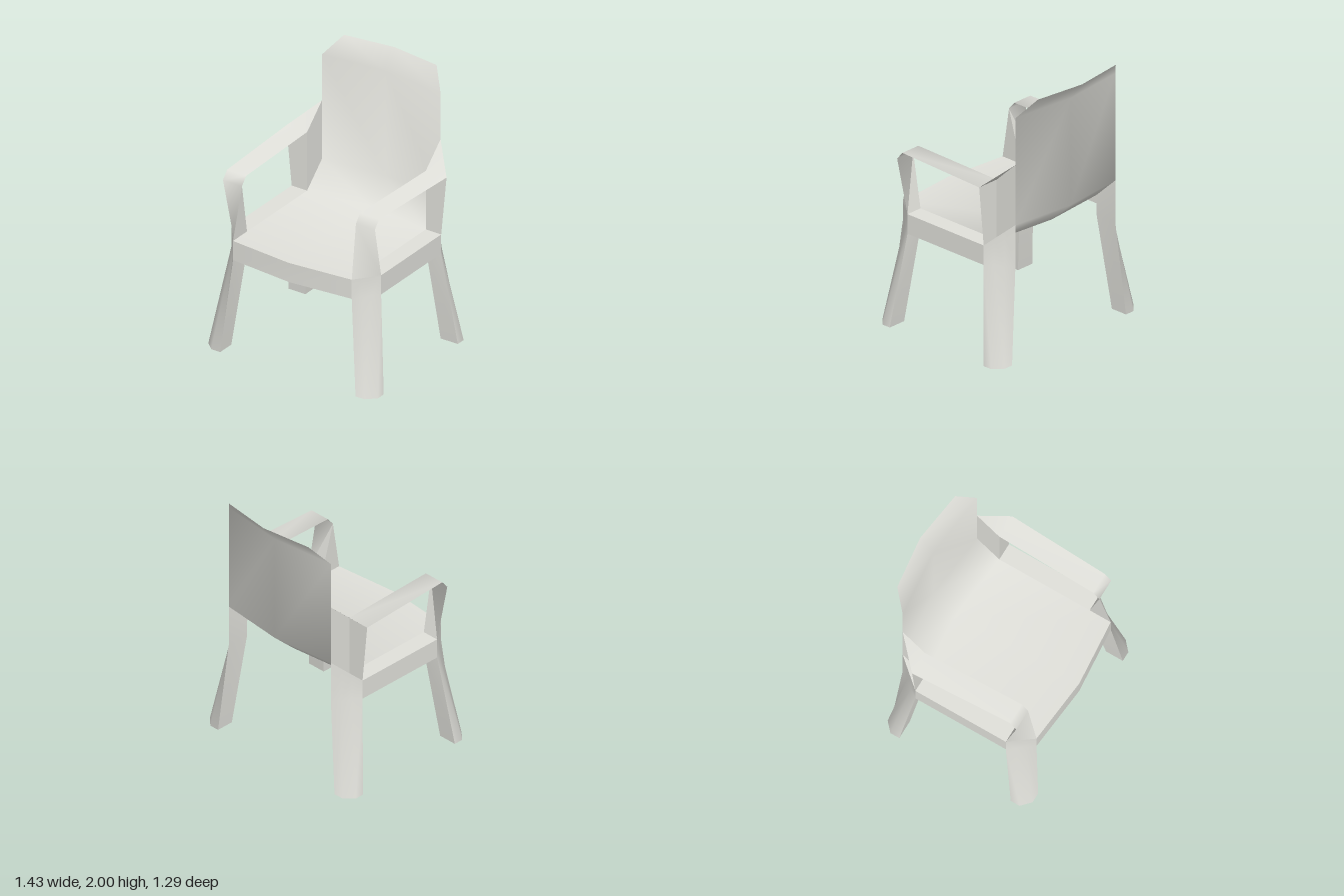
import * as THREE from 'three';
import { toCreasedNormals } from 'three/addons/utils/BufferGeometryUtils.js';

const plastic = new THREE.MeshStandardMaterial({ color: 0xe0e0da, side: THREE.DoubleSide });
plastic.name = 'off white plastic';

// Thin moulded sheet through rows of [x, y, z] points (equal row lengths)
function sheet(name, rows) {
  const n = rows[0].length;
  const index = [];
  for (let r = 0; r < rows.length - 1; r++) {
    for (let c = 0; c < n - 1; c++) {
      const a = r * n + c, b = a + 1, d = a + n, e = d + 1;
      index.push(a, d, b, b, d, e);
    }
  }
  const geo = new THREE.BufferGeometry();
  geo.setAttribute('position', new THREE.Float32BufferAttribute(rows.flat(2), 3));
  geo.setIndex(index);
  const mesh = new THREE.Mesh(toCreasedNormals(geo, 1.1), plastic);
  mesh.name = name;
  return mesh;
}

// Row across the width: bowed at the middle by dz
const bowed = (w, y, z, dz) => [[-w, y, z], [0, y, z + dz], [w, y, z]];
// Closed plan outline [x, z] lifted to a height given by a rule of z
const ring = (plan, y) => [...plan, plan[0]].map(([x, z]) => [x, y(z), z]);
const level = (h) => () => h;

// Triangular leg head: a straight outer chamfer in three steps plus the inner corner
function legPlan(zOuter, zInner) {
  const plan = [0, 1, 2, 3].map((i) => [0.5 + 0.13 * i / 3, zOuter + (zInner - zOuter) * i / 3]);
  return [...plan, [0.5, zInner]];
}
// Squarish foot with its outer corner cut off
const footPlan = (zOuter, zInner) => {
  const cut = zOuter + (zInner - zOuter) * 0.47;
  return [[0.57, zOuter], [0.645, zOuter], [0.714, cut], [0.714, zInner], [0.57, zInner]];
};

// Solid leg from its head down to a closed, splayed foot
function leg(name, plan, foot, topRule) {
  const top = ring(plan, topRule);
  const corner = top[4];
  const sole = ring(foot, level(0));
  return sheet(name, [
    top.map(() => corner), top,
    ring(plan, level(0.72)),
    sole, sole.map(() => sole[4]),
  ]);
}

function createSide() {
  const side = new THREE.Group();

  // Legs; the back one is cut off along the slope of the seat
  side.add(leg('frontLeg', legPlan(0.59, 0.42), footPlan(0.645, 0.51), level(0.87)));
  const slope = (z) => 0.87 + (-0.31 - z) * 0.945;
  side.add(leg('backLeg', legPlan(-0.49, -0.31), footPlan(-0.525, -0.39), slope));

  // Side rim and the seat margin beside it
  side.add(sheet('sideRim', [
    [[0.63, 0.87, 0.42], [0.63, 0.87, -0.31]],
    [[0.63, 0.72, 0.42], [0.63, 0.72, -0.31]],
  ]));
  side.add(sheet('seatMargin', [
    [[0.5, 0.87, 0.42], [0.5, 0.87, -0.31]],
    [[0.63, 0.87, 0.42], [0.63, 0.87, -0.31]],
  ]));

  // Armrest strip: up the front of the post, over the bend, back to the backrest
  side.add(sheet('armrest', [
    [[0.5, 0.87, 0.59], [0.63, 0.87, 0.42]],
    [[0.48, 1.27, 0.51], [0.64, 1.27, 0.51]],
    [[0.48, 1.33, 0.46], [0.64, 1.33, 0.46]],
    [[0.5, 1.33, -0.31], [0.675, 1.33, -0.31]],
    [[0.5, 1.5, -0.49], [0.5, 1.5, -0.49]],
  ]));

  // Inner faces closing the tapered arm post
  side.add(sheet('armPost', [
    [[0.64, 1.27, 0.51], [0.48, 1.27, 0.51], [0.48, 1.27, 0.51]],
    [[0.63, 0.87, 0.42], [0.5, 0.87, 0.42], [0.5, 0.87, 0.59]],
  ]));

  // Folded wing holding the rear of the armrest
  side.add(sheet('backWing', [
    [[0.675, 1.33, -0.31], [0.5, 1.33, -0.31], [0.5, 1.5, -0.49]],
    [[0.63, 0.87, -0.31], [0.5, 0.87, -0.31], [0.5, 1.04, -0.49]],
  ]));
  return side;
}

export function createModel() {
  const chair = new THREE.Group();
  chair.name = 'armchair';

  // Seat and backrest as one continuous sheet
  chair.add(sheet('seatAndBackrest', [
    bowed(0.5, 0.87, 0.59, 0.045),
    bowed(0.5, 0.87, -0.31, -0.05),
    bowed(0.5, 1.04, -0.49, -0.052),
    bowed(0.5, 1.86, -0.49, -0.052),
    bowed(0.39, 2, -0.6, -0.05),
  ]));

  // Front rim under the seat edge
  chair.add(sheet('frontRim', [
    bowed(0.5, 0.87, 0.59, 0.045),
    bowed(0.5, 0.72, 0.59, 0.045),
  ]));

  // Mirrored sides
  for (const s of [1, -1]) {
    const side = createSide();
    side.name = s > 0 ? 'leftSide' : 'rightSide';
    side.scale.x = s;
    chair.add(side);
  }
  return chair;
}
